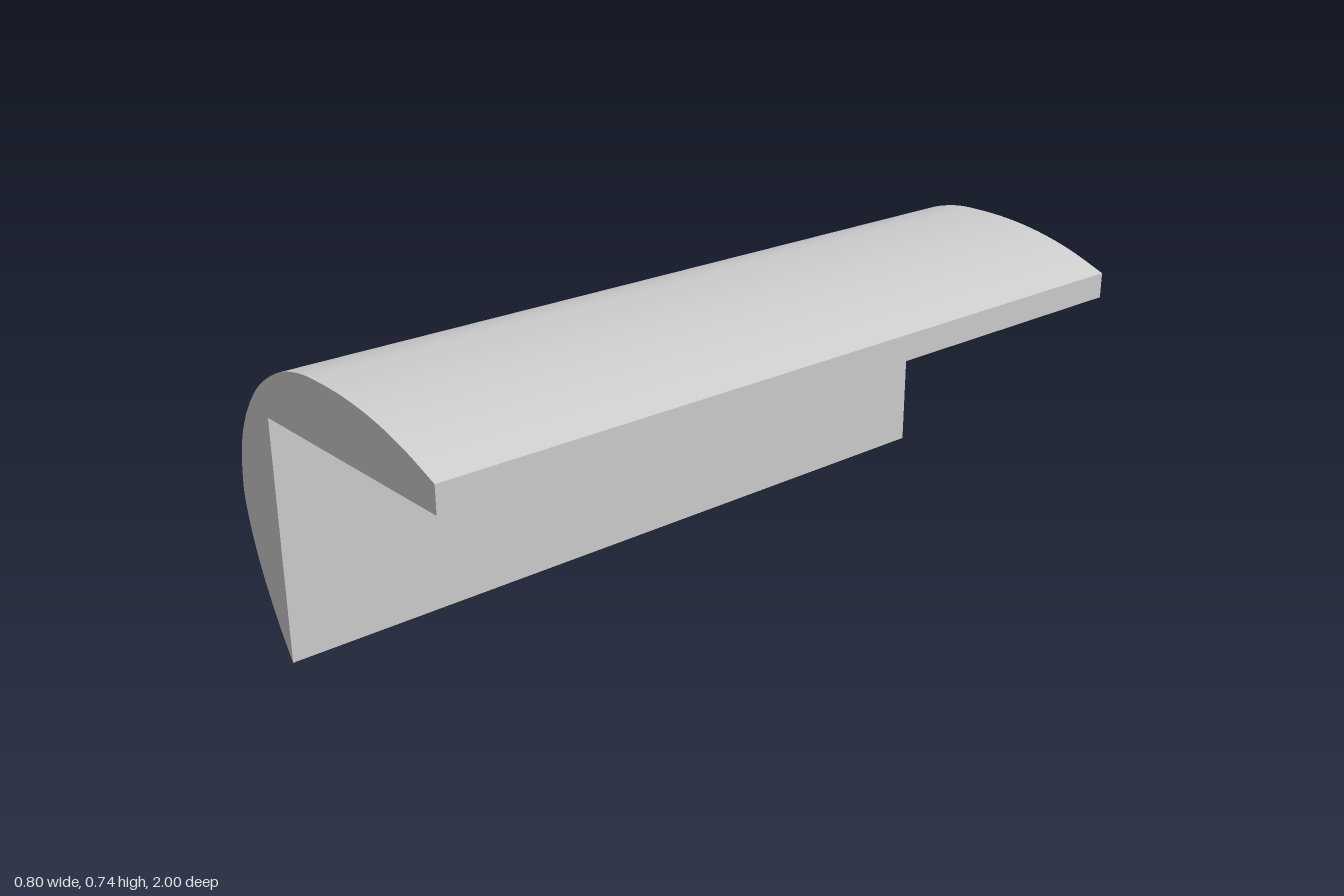
import * as THREE from 'three';
import { toCreasedNormals } from 'three/addons/utils/BufferGeometryUtils.js';

const LENGTH = 2;

export function createModel() {
  const group = new THREE.Group();
  group.name = 'edgeTrim';

  // Cross-section: right-angled inner corner with a rounded outer face
  const outer = [
    [-0.30, 0.085], [-0.35, 0.186], [-0.384, 0.284], [-0.4, 0.388], [-0.374, 0.52],
    [-0.30, 0.632], [-0.2, 0.702], [-0.1, 0.733], [0, 0.738], [0.1, 0.733],
    [0.2, 0.718], [0.3, 0.692], [0.4, 0.655],
  ].map(([x, y]) => new THREE.Vector2(x, y));

  const profile = new THREE.Shape();
  profile.moveTo(-0.247, 0);
  profile.splineThru(outer);
  profile.lineTo(0.4, 0.591);
  profile.lineTo(-0.247, 0.591);
  profile.closePath();

  // Straight run along z, smooth outside with crisp corners
  const extruded = new THREE.ExtrudeGeometry(profile, {
    depth: LENGTH, bevelEnabled: false, curveSegments: 5,
  });
  extruded.translate(0, 0, -LENGTH / 2);

  const trim = new THREE.Mesh(
    toCreasedNormals(extruded, 0.5),
    new THREE.MeshStandardMaterial({ color: 0xcccccc }),
  );
  trim.name = 'roundedCornerTrim';
  group.add(trim);
  return group;
}
